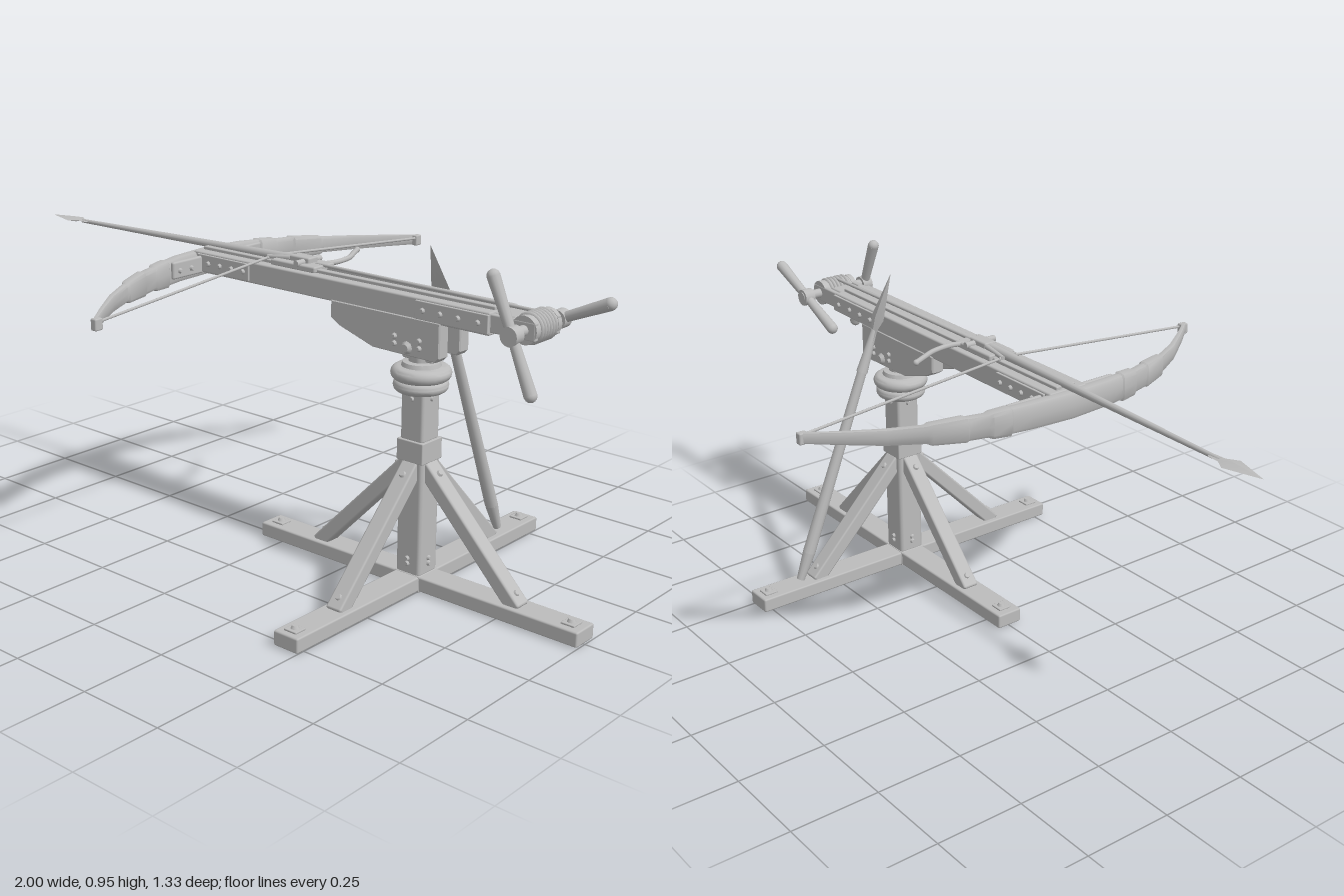
import * as THREE from 'three';
import { toCreasedNormals } from 'three/addons/utils/BufferGeometryUtils.js';
import { RoundedBoxGeometry } from 'three/addons/geometries/RoundedBoxGeometry.js';

const grey = new THREE.MeshStandardMaterial({ color: 0xbcbcbc });
grey.name = 'plain grey';
const V = (x, y, z) => new THREE.Vector3(x, y, z);
const UP = V(0, 1, 0);
const PX = 0.465; // x of the stand's axis

export function createModel() {
  const root = new THREE.Group();
  root.name = 'mountedCrossbow';

  const add = (name, geo, x = 0, y = 0, z = 0) => {
    const m = new THREE.Mesh(geo, grey);
    m.name = name;
    m.position.set(x, y, z);
    root.add(m);
    return m;
  };
  // bevelled box given by its limits
  const box = (name, x0, x1, y0, y1, z0, z1, r = 0.005) =>
    add(name, new RoundedBoxGeometry(x1 - x0, y1 - y0, z1 - z0, 1, r),
      (x0 + x1) / 2, (y0 + y1) / 2, (z0 + z1) / 2);
  // stretch a y-aligned geometry's mesh between two points
  const span = (name, make, a, b) => {
    const d = b.clone().sub(a);
    const m = add(name, make(d.length()));
    m.position.copy(a).add(b).multiplyScalar(0.5);
    m.quaternion.setFromUnitVectors(UP, d.normalize());
    return m;
  };
  const rod = (name, a, b, ra, rb = ra, n = 12) =>
    span(name, L => new THREE.CylinderGeometry(rb, ra, L, n), a, b);
  const beam = (name, a, b, w, d) =>
    span(name, L => new RoundedBoxGeometry(w, L, d, 1, 0.006), a, b);
  // domed bolt head facing a direction
  const bolt = (x, y, z, dir, r = 0.009) => {
    const m = add('bolt', new THREE.CylinderGeometry(r * 0.6, r, 0.01, 8), x, y, z);
    m.quaternion.setFromUnitVectors(UP, dir);
  };
  const lathe = (name, pts, x, y, z, n = 28) =>
    add(name, toCreasedNormals(new THREE.LatheGeometry(pts.map(p => new THREE.Vector2(...p)), n), 0.7), x, y, z);

  // ---- stand: crossed beams, post and braces
  box('baseBeamLong', -0.07, 1, 0.003, 0.045, -0.04, 0.04);
  box('baseBeamCross', PX - 0.04, PX + 0.04, 0.003, 0.045, -0.53, 0.53);
  box('baseJoint', PX - 0.042, PX + 0.042, 0, 0.047, -0.042, 0.042, 0.003);
  box('lowerPost', PX - 0.04, PX + 0.04, 0.04, 0.38, -0.04, 0.04, 0.01);
  box('postCollar', PX - 0.043, PX + 0.043, 0.365, 0.425, -0.043, 0.043, 0.003);
  box('upperPost', PX - 0.037, PX + 0.037, 0.42, 0.57, -0.037, 0.037, 0.008);
  for (let i = 0; i < 4; i++) {
    const a = i * Math.PI / 2, c = Math.round(Math.cos(a)), s = Math.round(Math.sin(a));
    const at = (r, y) => V(PX + c * r, y, s * r);
    const w = c ? 0.042 : 0.05, d = c ? 0.05 : 0.042;
    beam('brace', at(0.335, 0.035), at(0.025, 0.355), w, d);
    const out = V(c, 0, s), slope = V(c, 1, s).normalize();
    bolt(...at(0.325, 0.075).toArray(), slope, 0.012);
    bolt(...at(0.07, 0.34).toArray(), slope, 0.012);
    for (const y of [0.075, 0.09]) bolt(...at(0.042, y).toArray(), out);
    bolt(...at(0.038, 0.54).toArray(), out);
    // bolted washer near each beam end
    const e = at(0.493, 0);
    box('endWasher', e.x - 0.02, e.x + 0.02, 0.044, 0.05, e.z - 0.02, e.z + 0.02, 0.002);
    bolt(e.x, 0.053, e.z, UP, 0.013);
  }

  // ---- swivel: two rounded discs and a neck
  const disc = (r, y0, y1) => {
    const b = (y1 - y0) / 2;
    const pts = [[0, y0]];
    for (let k = 0; k <= 8; k++) {
      const t = -Math.PI / 2 + k * Math.PI / 8;
      pts.push([r - b + Math.cos(t) * b, (y0 + y1) / 2 + Math.sin(t) * b]);
    }
    pts.push([0, y1]);
    lathe('swivelDisc', pts, PX, 0, 0);
  };
  disc(0.074, 0.555, 0.591);
  disc(0.081, 0.587, 0.625);
  lathe('swivelNeck', [[0.055, 0.62], [0.05, 0.636], [0.034, 0.638], [0.034, 0.68], [0, 0.68]], PX, 0, 0);
  box('swivelTongue', PX - 0.05, PX + 0.05, 0.64, 0.765, -0.02, 0.02);

  // ---- cradle cheeks under the stock
  const cheek = new THREE.Shape([[0.21, 0.765], [0.21, 0.72], [0.235, 0.705], [0.35, 0.668],
    [0.555, 0.665], [0.565, 0.675], [0.565, 0.765]].map(p => new THREE.Vector2(...p)));
  for (const s of [-1, 1]) {
    const g = new THREE.ExtrudeGeometry(cheek, { depth: 0.032, bevelThickness: 0.004, bevelSize: 0.003, bevelSegments: 1 });
    add('cradleCheek', g, 0, 0, s * 0.045 - 0.016);
    for (const [x, y] of [[0.425, 0.69], [0.425, 0.71], [0.505, 0.69], [0.505, 0.71]])
      bolt(x, y, s * 0.068, V(0, 0, s));
    bolt(PX, 0.685, s * 0.07, V(0, 0, s), 0.018);
  }

  // ---- stock with guide rails and iron straps
  box('stock', -0.31, 0.715, 0.762, 0.822, -0.062, 0.062);
  box('stockTail', 0.7, 0.775, 0.768, 0.818, -0.038, 0.038);
  for (const s of [-1, 1]) {
    const z0 = s * 0.0225;
    box('guideRail', -0.3, 0.71, 0.818, 0.831, z0 - 0.0095, z0 + 0.0095, 0.003);
    const strap = (name, x0, x1) => box(name, x0, x1, 0.768, 0.817, s * 0.0645 - 0.004, s * 0.0645 + 0.004, 0.002);
    strap('rearStrap', 0.49, 0.715);
    strap('frontStrap', -0.29, -0.09);
    for (const x of [0.515, 0.57, 0.625, 0.685, -0.11, -0.155, -0.2, -0.245])
      bolt(x, 0.793, s * 0.071, V(0, 0, s));
    box('windlassArm', 0.71, 0.845, 0.77, 0.818, s * 0.049 - 0.008, s * 0.049 + 0.008, 0.004);
    // elbow of the bracket along the bow
    beam('bowBracket', V(-0.283, 0.787, s * 0.06), V(-0.272, 0.787, s * 0.18), 0.014, 0.05)
      .rotation.set(s * Math.PI / 2, 0, 0);
    bolt(-0.268, 0.785, s * 0.155, V(1, 0, 0));
    bolt(-0.268, 0.785, s * 0.11, V(1, 0, 0));
  }

  // ---- bow: stepped limbs lofted from oval sections [z, x, half depth, half height, y]
  const half = [[0, -0.318, 0.019, 0.038, 0.782], [0.13, -0.308, 0.019, 0.037, 0.781],
    [0.185, -0.298, 0.018, 0.036, 0.779], [0.19, -0.297, 0.022, 0.04, 0.778],
    [0.24, -0.288, 0.021, 0.037, 0.777], [0.25, -0.284, 0.017, 0.032, 0.777],
    [0.3, -0.269, 0.017, 0.032, 0.776], [0.305, -0.267, 0.021, 0.035, 0.776],
    [0.39, -0.236, 0.018, 0.03, 0.774], [0.4, -0.231, 0.013, 0.025, 0.774],
    [0.49, -0.182, 0.012, 0.022, 0.773], [0.58, -0.118, 0.01, 0.018, 0.773],
    [0.655, -0.06, 0.008, 0.015, 0.773]];
  const rings = [...half.slice(1).reverse().map(([z, ...r]) => [-z, ...r]), ...half];
  const N = 12, pos = [], idx = [];
  rings.forEach(([z, x, hx, hy, y], i) => {
    for (let j = 0; j < N; j++) {
      const t = j / N * Math.PI * 2, c = Math.cos(t), s = Math.sin(t);
      pos.push(x + hx * Math.sign(c) * Math.sqrt(Math.abs(c)), y + hy * Math.sign(s) * Math.sqrt(Math.abs(s)), z);
      if (i) {
        const a = (i - 1) * N + j, b = (i - 1) * N + (j + 1) % N;
        idx.push(a, b, a + N, b, b + N, a + N);
      }
    }
  });
  const bowGeo = new THREE.BufferGeometry();
  bowGeo.setAttribute('position', new THREE.Float32BufferAttribute(pos, 3));
  bowGeo.setIndex(idx);
  add('bow', toCreasedNormals(bowGeo, 0.6));
  for (const s of [-1, 1]) {
    box('bowTip', -0.068, -0.048, 0.756, 0.788, s * 0.652 - 0.013, s * 0.652 + 0.013, 0.004);
    rod('bowstring', V(-0.055, 0.778, s * 0.65), V(-0.055, 0.834, s * 0.03), 0.004, 0.004, 8);
  }
  rod('bowstring', V(-0.055, 0.834, -0.03), V(-0.055, 0.834, 0.03), 0.005, 0.005, 8);

  // ---- trigger lock and bent lever
  box('triggerLock', -0.03, 0.13, 0.82, 0.838, -0.043, 0.043);
  box('triggerNut', 0.02, 0.09, 0.832, 0.853, -0.02, 0.02);
  rod('triggerPin', V(0.07, 0.84, -0.05), V(0.07, 0.84, 0.05), 0.009);
  for (const s of [-1, 1]) rod('stringClaw', V(-0.06, 0.836, s * 0.02), V(0.02, 0.842, s * 0.012), 0.006, 0.008, 8);
  const lever = new THREE.CatmullRomCurve3([V(0.105, 0.832, -0.03), V(0.115, 0.832, -0.07),
    V(0.107, 0.832, -0.13), V(0.085, 0.833, -0.175), V(0.062, 0.833, -0.22)]);
  add('triggerLever', new THREE.TubeGeometry(lever, 20, 0.0075, 8));
  add('leverEnd', new THREE.SphereGeometry(0.0085, 10, 8), 0.062, 0.833, -0.22);

  // ---- windlass: drum, axle, rope and one crossbar on each side
  const WX = 0.812, WY = 0.795;
  rod('windlassDrum', V(WX, WY, -0.042), V(WX, WY, 0.042), 0.036, 0.036, 20);
  for (let i = 0; i < 6; i++)
    add('ropeCoil', new THREE.TorusGeometry(0.036, 0.006, 6, 20), WX, WY, -0.03 + i * 0.012);
  for (const s of [-1, 1]) rod('drumFlange', V(WX, WY, s * 0.041), V(WX, WY, s * 0.056), 0.037, 0.037, 20);
  rod('windlassAxle', V(WX, WY, -0.122), V(WX, WY, 0.122), 0.014);
  rod('windlassRope', V(0.1, 0.837, 0), V(0.8, 0.832, 0), 0.005, 0.005, 8);
  const bar = (dx, dy, z) => {
    const c = V(WX, WY - 0.003, z);
    for (const s of [-1, 1]) {
      const tip = c.clone().add(V(dx * s, dy * s, 0));
      rod('windlassHandle', c, tip, 0.013, 0.017);
      add('handleEnd', new THREE.SphereGeometry(0.017, 12, 8), ...tip.toArray());
    }
    rod('handleHub', V(c.x, c.y, z - 0.016), V(c.x, c.y, z + 0.016), 0.025, 0.025, 16);
  };
  bar(-0.06, 0.138, 0.106);
  bar(0.14, 0.062, -0.104);

  // ---- loaded bolt and leaning spear with flat four-sided heads
  const head = (name, len, wide, sx, sz) => {
    const m = lathe(name, [[0, 0], [wide * 0.35, len * 0.06], [wide * 0.4, len * 0.25], [wide, len * 0.42], [0, len]], 0, 0, 0, 4);
    m.scale.set(sx, 1, sz);
    return m;
  };
  rod('arrowShaft', V(-0.86, 0.821, 0), V(0.02, 0.838, 0), 0.006, 0.014);
  const arrow = head('arrowHead', 0.18, 0.032, 0.25, 1);
  arrow.position.set(-0.82, 0.822, 0);
  arrow.rotation.z = Math.PI / 2;

  rod('spearFoot', V(PX, 0.05, -0.382), V(PX, 0.13, -0.348), 0.012, 0.019);
  rod('spearShaft', V(PX, 0.13, -0.348), V(PX, 0.67, -0.132), 0.019, 0.014);
  rod('spearSocket', V(PX, 0.66, -0.136), V(PX, 0.78, -0.088), 0.017, 0.009);
  const spear = head('spearHead', 0.235, 0.031, 1, 0.3);
  spear.position.set(PX, 0.722, -0.112);
  spear.quaternion.setFromUnitVectors(UP, V(0, 0.926, 0.372).normalize());

  return root;
}
